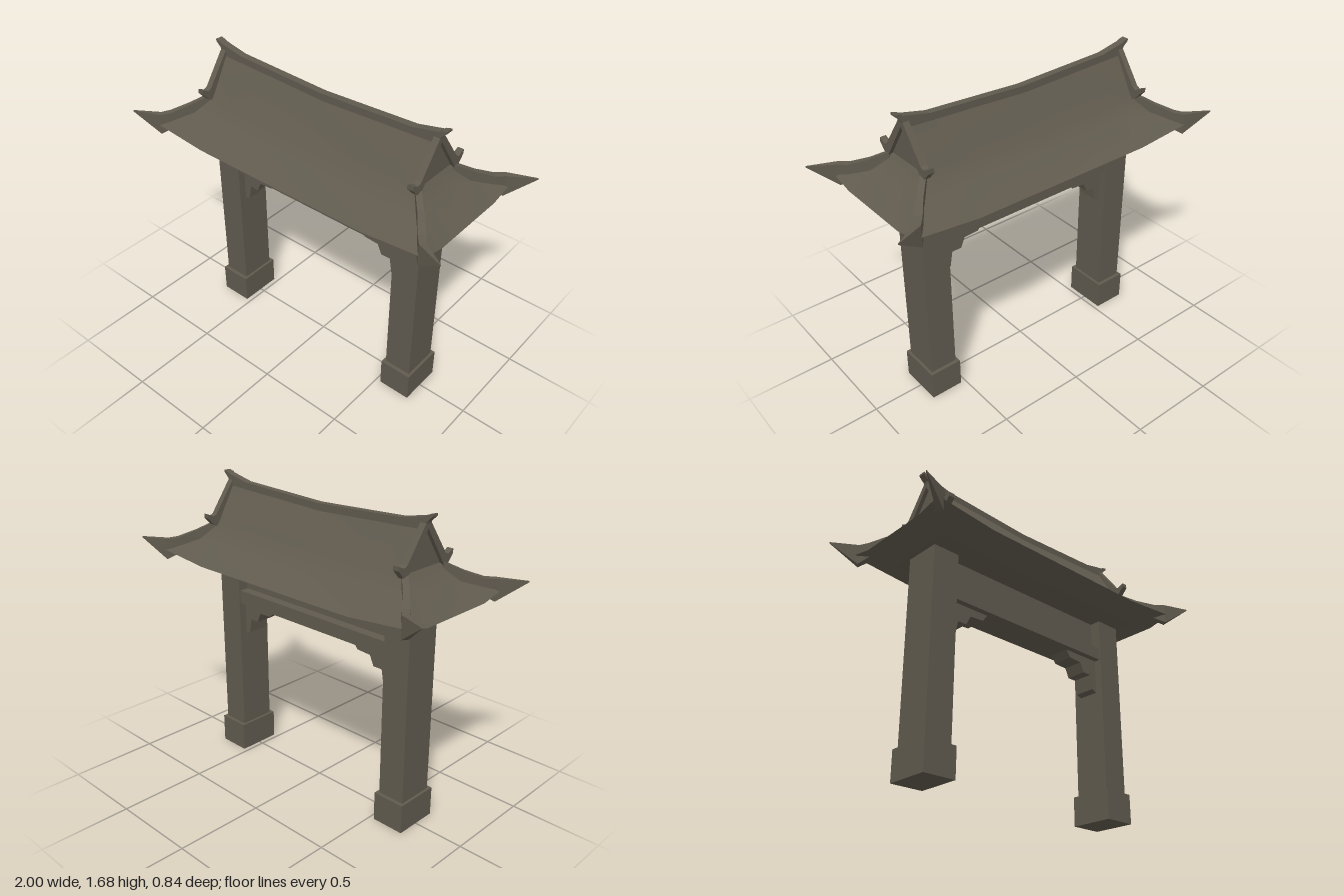
import * as THREE from 'three';

const stone = new THREE.MeshStandardMaterial({ color: 0x605a4e });
stone.name = 'weathered stone';
stone.side = THREE.DoubleSide;

const V = (x, y, z) => new THREE.Vector3(x, y, z);

function add(parent, name, geometry) {
  const mesh = new THREE.Mesh(geometry, stone);
  mesh.name = name;
  parent.add(mesh);
  return mesh;
}

function box(parent, name, w, y0, y1, d, x = 0) {
  add(parent, name, new THREE.BoxGeometry(w, y1 - y0, d)).position.set(x, (y0 + y1) / 2, 0);
}

// Smooth surface through rows of points (top to bottom, left to right)
function grid(rows) {
  const n = rows[0].length, index = [];
  for (let i = 0; i < rows.length - 1; i++) {
    for (let j = 0; j < n - 1; j++) {
      const a = i * n + j, b = a + n;
      index.push(a, b, b + 1, a, b + 1, a + 1);
    }
  }
  const g = new THREE.BufferGeometry().setFromPoints(rows.flat());
  g.setIndex(index);
  g.computeVertexNormals();
  return g;
}

// Bar with flat faces; stations are [x, z, yTop, yBottom, halfWidth]
function sweep(stations) {
  const sections = stations.map(([x, z, top, bottom, w], i) => {
    const a = stations[Math.max(i - 1, 0)], b = stations[Math.min(i + 1, stations.length - 1)];
    const dx = b[0] - a[0], dz = b[1] - a[1], len = Math.hypot(dx, dz);
    const rx = -dz / len * w, rz = dx / len * w;
    return [V(x - rx, top, z - rz), V(x + rx, top, z + rz), V(x + rx, bottom, z + rz), V(x - rx, bottom, z - rz)];
  });
  const pts = [];
  const quad = (a, b, c, d) => pts.push(a, b, c, a, c, d);
  for (let i = 0; i < sections.length - 1; i++) {
    const A = sections[i], B = sections[i + 1];
    for (let j = 0; j < 4; j++) quad(A[j], A[(j + 1) % 4], B[(j + 1) % 4], B[j]);
  }
  const s = sections[0], e = sections[sections.length - 1];
  quad(s[0], s[3], s[2], s[1]);
  quad(e[0], e[1], e[2], e[3]);
  const g = new THREE.BufferGeometry().setFromPoints(pts);
  g.computeVertexNormals();
  return g;
}

// Roof levels: half length, height at middle, half depth, rise at the corners
const APEX = { x: 0.675, y: 1.605, z: 0, lift: 0.03 };
const WAIST = { x: 0.675, y: 1.4, z: 0.13, lift: 0.01 };
const FLARE = { x: 0.745, y: 1.307, z: 0.21, lift: 0.015 };
const EAVE = { x: 0.885, y: 1.23, z: 0.368, lift: 0.033 };
const SOFFIT = { x: 0.72, y: 1.2, z: 0.21, lift: 0 };

// The long sides sag evenly at the top, while the eaves turn up only near the corners
const rise = (l, t) => l.lift * (l.y > 1.25 ? Math.abs(t) : Math.max(0, (Math.abs(t) - 0.6) / 0.4));
const frontRow = (l) => [-1, -0.8, -0.6, 0, 0.6, 0.8, 1].map((t) => V(l.x * t, l.y + rise(l, t), l.z));
const endRow = (l) => [-1, -0.6, 0, 0.6, 1].map((t) =>
  V(l.x, l.y + (l.y > 1.25 ? l.lift : rise(l, t)), -l.z * t));

function roofHalf() {
  const half = new THREE.Group();
  half.name = 'roofHalf';
  add(half, 'mainSlope', grid([APEX, WAIST, FLARE, EAVE].map(frontRow)));
  add(half, 'endSlope', grid([WAIST, FLARE, EAVE].map(endRow)));
  add(half, 'gable', grid([APEX, WAIST].map(endRow)));
  add(half, 'frontSoffit', grid([EAVE, SOFFIT].map(frontRow)));
  add(half, 'endSoffit', grid([EAVE, SOFFIT].map(endRow)));
  for (const s of [1, -1]) {
    // Sloping bar on the gable edge with a curled foot
    add(half, 'gableRidge', sweep([
      [0.68, 0, 1.66, 1.605, 0.017], [0.68, 0.145 * s, 1.46, 1.39, 0.017],
      [0.68, 0.165 * s, 1.45, 1.4, 0.017], [0.68, 0.205 * s, 1.468, 1.445, 0.017],
    ]));
    // Corner ridge sweeping out to a pointed tip
    add(half, 'cornerRidge', sweep([
      [0.685, 0.145 * s, 1.415, 1.385, 0.015], [0.76, 0.225 * s, 1.365, 1.3, 0.016],
      [0.825, 0.305 * s, 1.328, 1.235, 0.02], [0.86, 0.35 * s, 1.322, 1.205, 0.018],
      [1, 0.42 * s, 1.322, 1.316, 0.002],
    ]));
  }
  return half;
}

export function createModel() {
  const gate = new THREE.Group();
  gate.name = 'gateway';

  // Scalloped corner bracket outline
  const outline = [[0.545, 0.75], [0.51, 0.765], [0.495, 0.85], [0.44, 0.85], [0.415, 0.905],
    [0.33, 0.91], [0.3, 0.95], [0.545, 0.95]];

  for (const s of [1, -1]) {
    box(gate, 'pillarBase', 0.185, 0, 0.165, 0.25, 0.62 * s);
    box(gate, 'pillar', 0.155, 0.165, 1.2, 0.208, 0.62 * s);
    const shape = new THREE.Shape(outline.map(([x, y]) => new THREE.Vector2(x * s, y)));
    const bracket = new THREE.ExtrudeGeometry(shape, { depth: 0.12, bevelEnabled: false });
    add(gate, 'bracket', bracket.translate(0, 0, -0.06));
  }

  // Cross beam and deeply recessed panel
  box(gate, 'lowerBeam', 1.085, 0.95, 1.025, 0.19);
  box(gate, 'panel', 1.085, 1.025, 1.2, 0.08);

  // Roof
  const roof = new THREE.Group();
  roof.name = 'roof';
  const back = roofHalf();
  back.rotation.y = Math.PI;
  roof.add(roofHalf(), back);
  add(roof, 'roofUnderside', grid([1, -1].map((s) =>
    [V(-SOFFIT.x, SOFFIT.y, s * SOFFIT.z), V(SOFFIT.x, SOFFIT.y, s * SOFFIT.z)])));

  // Sagging top ridge with upturned ends
  const ridge = [[0.55, 1.635, 1.58], [0.69, 1.665, 1.6], [0.7, 1.672, 1.64], [0.73, 1.68, 1.668]];
  const station = (s) => ([x, top, bottom]) => [x * s, 0, top, bottom, 0.02];
  add(roof, 'topRidge', sweep([
    ...ridge.map(station(-1)).reverse(), [0, 0, 1.612, 1.56, 0.02], ...ridge.map(station(1)),
  ]));
  gate.add(roof);
  return gate;
}
